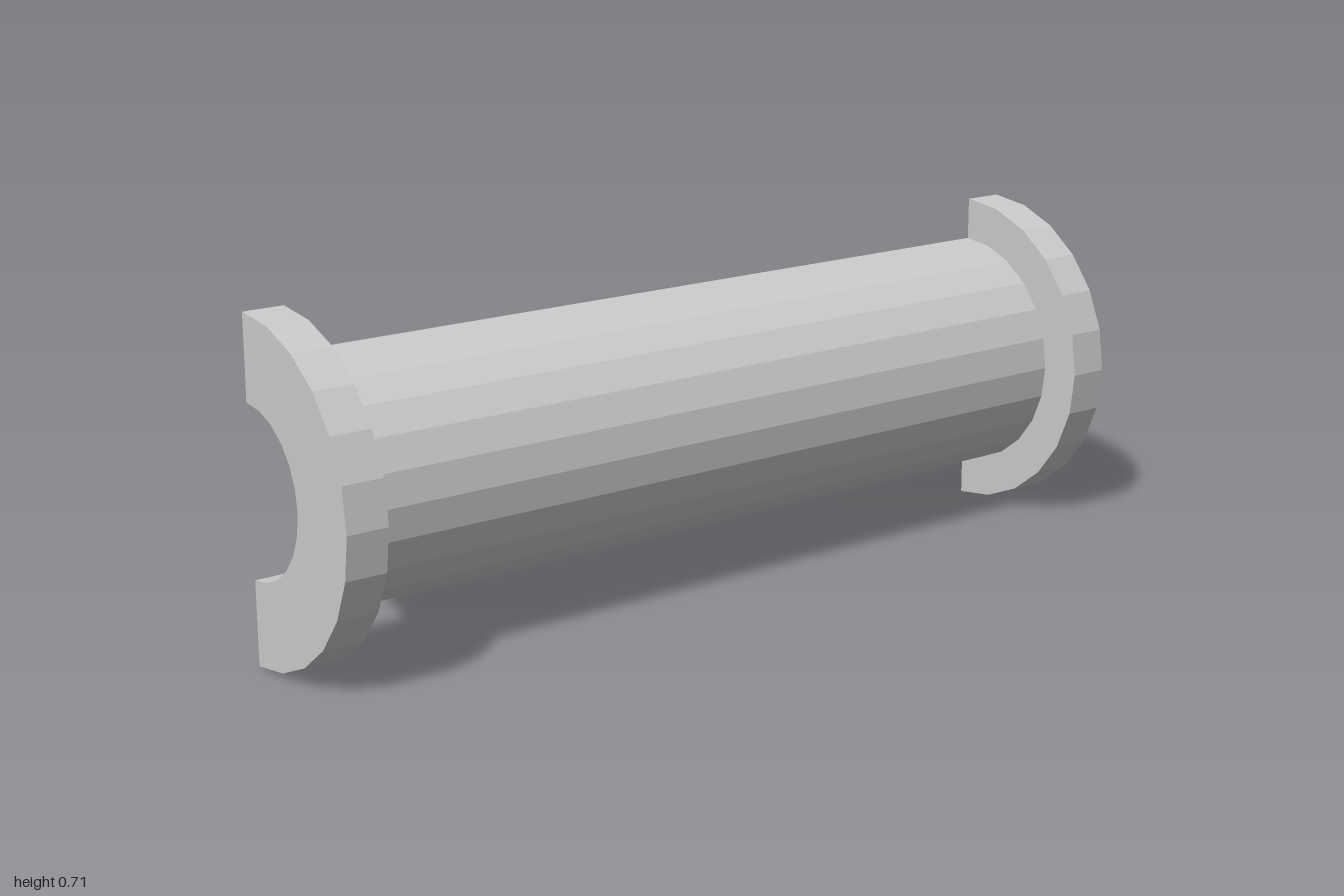
import * as THREE from 'three';

const BORE = 0.179, BODY = 0.264, FLANGE = 0.357; // radii
const END = 1, SHOULDER = 0.91; // half lengths along the axis

export function createModel() {
  const model = new THREE.Group();
  model.name = 'halfBushing';
  const material = new THREE.MeshStandardMaterial({ color: 0xcccccc, flatShading: true });

  // Wall section as (radius, position along the axis)
  const section = [
    [BORE, -END], [FLANGE, -END], [FLANGE, -SHOULDER], [BODY, -SHOULDER],
    [BODY, SHOULDER], [FLANGE, SHOULDER], [FLANGE, END], [BORE, END],
  ].map(([r, a]) => new THREE.Vector2(r, a));

  // Lay the turning axis along x and move it to the open back
  const add = (name, geometry) => {
    geometry.rotateZ(-Math.PI / 2).translate(0, FLANGE, -FLANGE / 2);
    const mesh = new THREE.Mesh(geometry, material);
    mesh.name = name;
    model.add(mesh);
  };

  // Flanged sleeve: the closed section swept through half a turn
  add('flangedSleeve', new THREE.LatheGeometry([...section, section[0]], 12, -Math.PI / 2, Math.PI));

  // Flat cut faces along the split plane, facing back
  const cut = () => new THREE.ShapeGeometry(new THREE.Shape(section));
  add('lowerCutFace', cut().rotateX(Math.PI));
  add('upperCutFace', cut().rotateY(Math.PI));

  return model;
}
